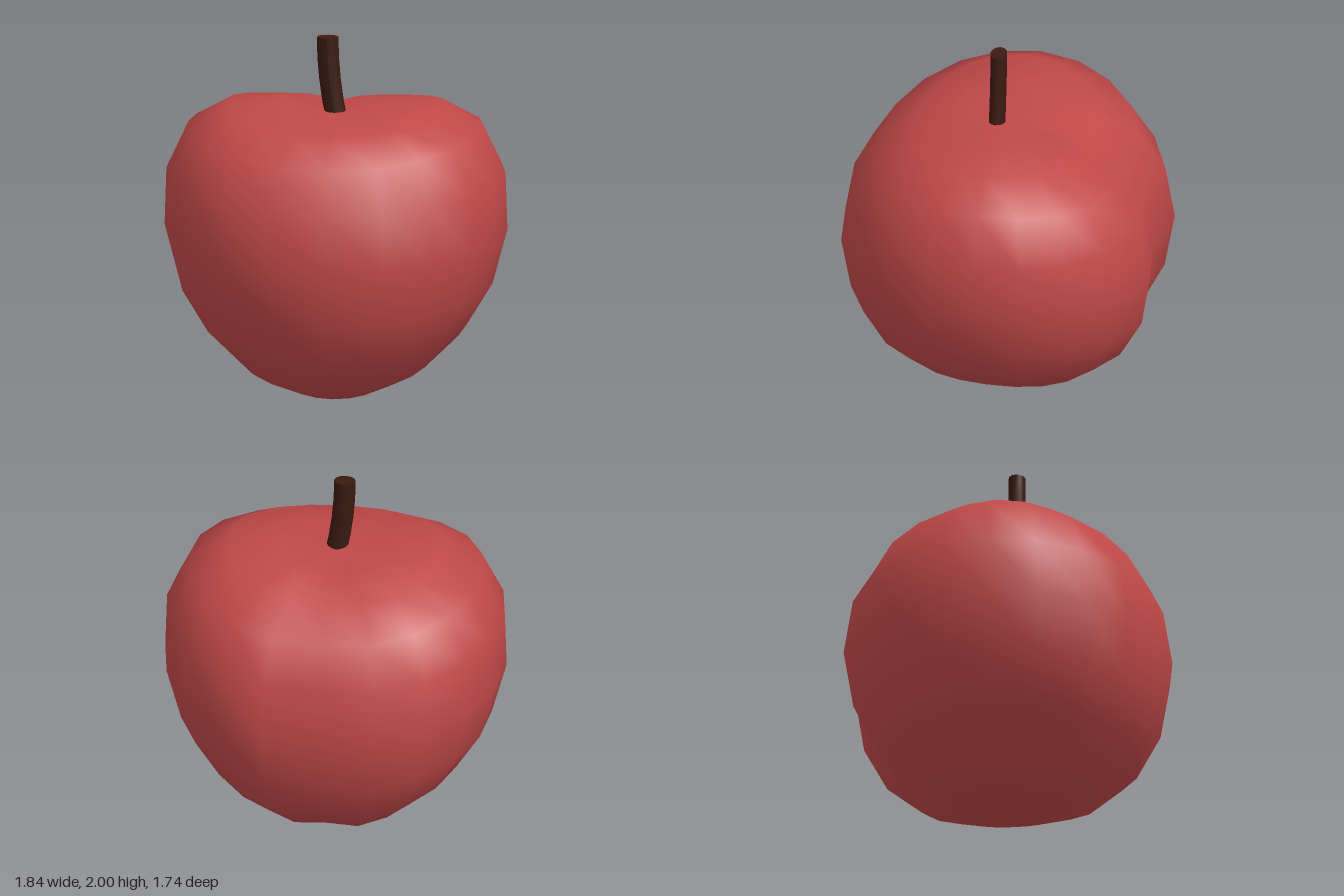
import * as THREE from 'three';
import { mergeVertices } from 'three/addons/utils/BufferGeometryUtils.js';

// [radius, height] from bottom tip to stem dimple
const sideProfile = [[0, 0], [0.27, 0.09], [0.51, 0.22], [0.7, 0.41], [0.84, 0.64], [0.92, 0.94],
  [0.91, 1.25], [0.79, 1.51], [0.58, 1.63], [0.3, 1.645], [0, 1.585]];
const frontProfile = [[0, 0], [0.23, 0.05], [0.49, 0.14], [0.69, 0.32], [0.82, 0.58], [0.87, 0.89],
  [0.82, 1.19], [0.69, 1.41], [0.49, 1.55], [0.24, 1.605], [0, 1.585]];
// Depth factors at the back, counted in 18 degree steps away from the groove
const grooveScale = [0.945, 1.045, 1.035, 1.01];

function createFruit() {
  const rings = 10, sides = 20;
  const geometry = new THREE.SphereGeometry(1, sides, rings);
  const p = geometry.attributes.position;
  for (let i = 0; i < p.count; i++) {
    const ring = Math.round(Math.acos(THREE.MathUtils.clamp(-p.getY(i), -1, 1)) / Math.PI * rings);
    const pole = ring === 0 || ring === rings;
    const angle = pole ? 0 : Math.atan2(p.getX(i), p.getZ(i));
    const [rx, sideY] = sideProfile[ring];
    const [rz, frontY] = frontProfile[ring];
    const s = Math.sin(angle) ** 2;
    // Slightly squared cross-section, heart-shaped from the front
    const x = rx * Math.sin(angle + 0.045 * Math.sin(2 * angle));
    let z = rz * Math.cos(angle);
    let y = THREE.MathUtils.lerp(frontY, sideY, s);
    // Groove down the back
    const step = Math.round((Math.PI - Math.abs(angle)) / (Math.PI * 2 / sides));
    z *= grooveScale[step] ?? 1;
    if (step === 0 && ring > 6) y -= 0.02;
    z -= 0.035 * s * rx;
    p.setXYZ(i, x, y, z);
  }
  geometry.deleteAttribute('uv');
  geometry.deleteAttribute('normal');
  const merged = mergeVertices(geometry, 1e-4);
  merged.computeVertexNormals();
  const fruit = new THREE.Mesh(merged, new THREE.MeshStandardMaterial({ color: 0xc04848 }));
  fruit.name = 'fruit';
  return fruit;
}

function createStem() {
  // Oval stem, bending towards -x as it rises
  const bottom = 1.54, top = 2, rx = 0.058, rz = 0.045;
  const geometry = new THREE.CylinderGeometry(1, 1, top - bottom, 12, 4);
  const p = geometry.attributes.position;
  for (let i = 0; i < p.count; i++) {
    const y = p.getY(i) + (top + bottom) / 2;
    const t = (top - y) / (top - bottom);
    p.setXYZ(i, p.getX(i) * rx - 0.04 + 0.05 * t * t, y, p.getZ(i) * rz + 0.038);
  }
  geometry.computeVertexNormals();
  const stem = new THREE.Mesh(geometry, new THREE.MeshStandardMaterial({ color: 0x3a1a10 }));
  stem.name = 'stem';
  return stem;
}

export function createModel() {
  const group = new THREE.Group();
  group.name = 'cherry';
  group.add(createFruit(), createStem());
  return group;
}
